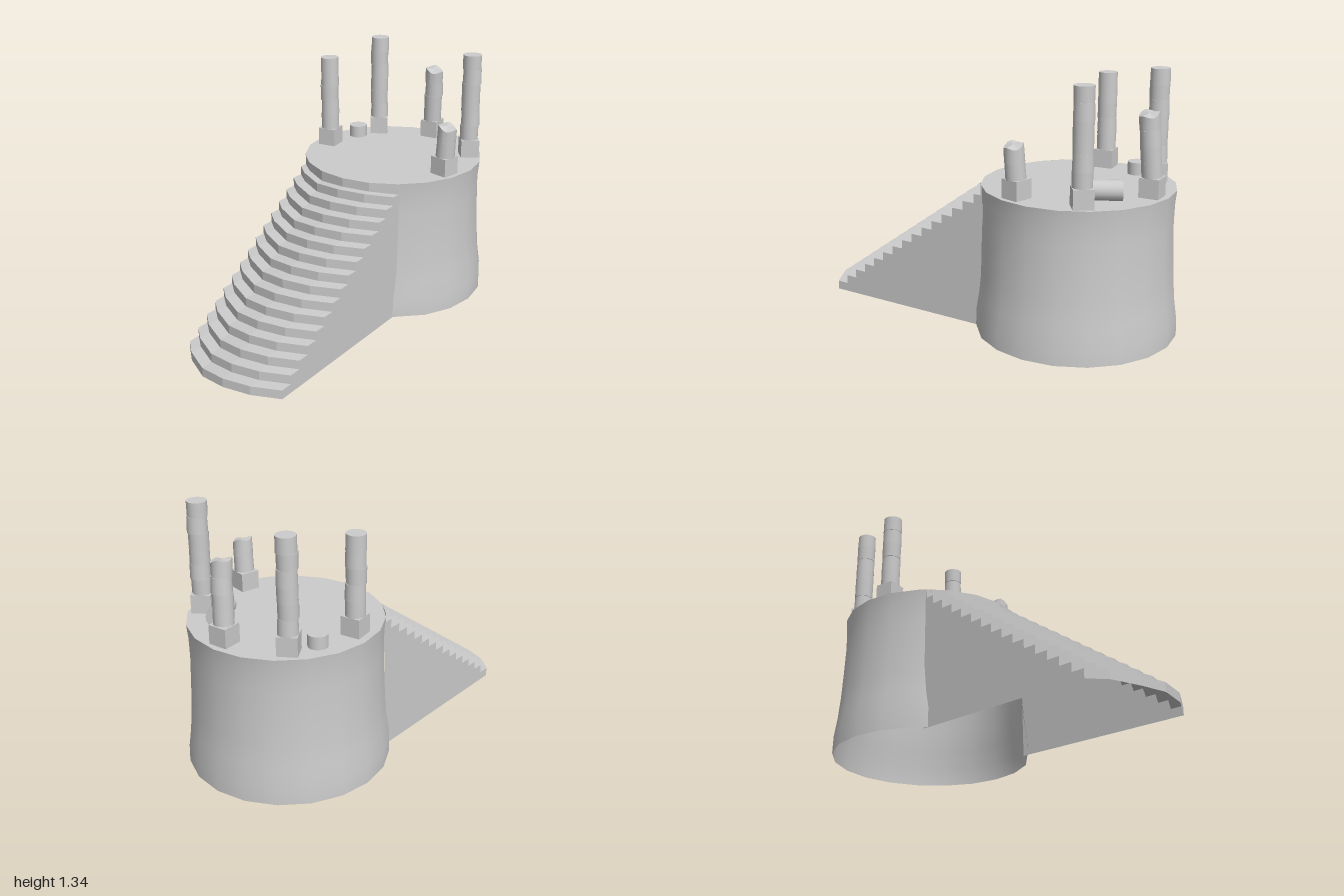
import * as THREE from 'three';

const solid = new THREE.MeshStandardMaterial({ color: 0xcccccc });
const shell = new THREE.MeshStandardMaterial({ color: 0xcccccc, side: THREE.DoubleSide });
const rad = THREE.MathUtils.degToRad;

const TOP = 0.77, FLOOR = 0.01, CZ = -0.48, R = 0.49;
const STEPS = 15, RISE = 0.0475, RUN = 0.0675;

function add(parent, name, geometry, material = solid) {
  const mesh = new THREE.Mesh(geometry, material);
  mesh.name = name;
  parent.add(mesh);
  return mesh;
}

// Surface through rows of points: columns run left to right, rows run upward
function grid(rows) {
  const n = rows[0].length, index = [];
  for (let i = 0; i < rows.length - 1; i++) {
    for (let j = 0; j < n - 1; j++) {
      const a = i * n + j, b = a + 1, c = a + n, d = c + 1;
      index.push(a, b, d, a, d, c);
    }
  }
  const g = new THREE.BufferGeometry();
  g.setAttribute('position', new THREE.Float32BufferAttribute(rows.flat(2), 3));
  g.setIndex(index);
  g.computeVertexNormals();
  return g;
}

// Round platform, hollow and open below, with a gap where the stairs enter
function buildPlatform(root) {
  const angles = [33];
  for (let a = 54; a <= 306; a += 18) angles.push(a);
  angles.push(314);
  const profile = [[0.518, FLOOR], [0.516, 0.1], [0.502, 0.2], [0.492, 0.32],
    [0.486, 0.45], [0.481, 0.6], [0.483, 0.7], [R, TOP]];
  const rows = profile.map(([r, y]) => angles.map(a =>
    [r * Math.sin(rad(a)), y, CZ + r * Math.cos(rad(a))]));
  add(root, 'platformWall', grid(rows), shell);

  const disc = new THREE.CircleGeometry(R, 20, Math.PI / 2).rotateX(-Math.PI / 2);
  add(root, 'platformFloor', disc.translate(0, TOP, CZ), shell);
}

// Bowed, slightly worn stairs with side walls
function buildStairs(root) {
  const columns = [[-49, 0], [-36, 0.001], [-18, -0.008], [0, 0], [18, -0.001], [36, -0.01]]
    .map(([a, sag]) => ({ x: R * Math.sin(rad(a)), bow: R - R * Math.cos(rad(a)), sag }));

  const profile = []; // [z, y] from the ground up
  for (let k = 0; k < STEPS; k++) {
    const z = 1 - k * RUN;
    profile.push([z, FLOOR + k * RISE], [z, FLOOR + (k + 1) * RISE]);
  }
  profile.push([CZ + R, FLOOR + STEPS * RISE], [CZ + R, TOP + 0.01]);
  profile[profile.length - 1][1] = TOP;

  const last = profile.length - 1;
  const rows = profile.map(([z, y], i) => columns.map(c =>
    [c.x, i === last ? y : y + c.sag, z - c.bow]));
  const steps = grid(rows).toNonIndexed();
  steps.computeVertexNormals();
  add(root, 'steps', steps, shell);

  for (const [name, c] of [['rightStairWall', columns[0]], ['leftStairWall', columns[5]]]) {
    const pts = profile.map(([z, y], i) =>
      new THREE.Vector2(z - c.bow, i === last ? y : y + c.sag));
    pts.push(new THREE.Vector2(CZ + R - c.bow - 0.01, TOP - 0.005));
    pts.push(new THREE.Vector2(CZ + R - c.bow + 0.005, FLOOR));
    const g = new THREE.ShapeGeometry(new THREE.Shape(pts)).rotateY(-Math.PI / 2);
    add(root, name, g.translate(c.x, 0, 0), shell);
  }
}

// Stone drum standing on its own base; a broken one gets a jagged sloping top
function drum(rBottom, rTop, height, broken) {
  const g = new THREE.CylinderGeometry(rTop, rBottom, height, 18, 1).translate(0, height / 2, 0);
  if (broken) {
    const p = g.attributes.position;
    for (let i = 0; i < p.count; i++) {
      if (p.getY(i) < height / 2) continue;
      const a = Math.atan2(p.getZ(i), p.getX(i));
      p.setY(i, p.getY(i) - p.getX(i) * 0.18 + 0.007 * Math.sin(3 * a + 1));
    }
    g.computeVertexNormals();
  }
  return g;
}

// Column of stacked drums on a square base
function buildColumn(root, { x, z, top, turn, lean = [0, 0], broken = false }, id) {
  const column = new THREE.Group();
  column.name = 'column' + (id + 1);
  column.position.set(x, TOP, z);
  root.add(column);

  const baseH = 0.097;
  const base = add(column, 'columnBase', new THREE.BoxGeometry(0.1, baseH, 0.1));
  base.position.y = baseH / 2;
  base.rotation.y = rad(turn);

  const total = top - TOP - baseH;
  const count = Math.round(total / 0.077);
  const h = total / count;
  for (let i = 0; i < count; i++) {
    const wob = Math.sin(i * 2.3 + id * 1.7), t = (i + 0.5) / count;
    const isTop = i === count - 1;
    const g = drum(0.05 + 0.001 * wob, 0.0495 - 0.001 * wob, h + (isTop ? 0 : 0.002), broken && isTop);
    const m = add(column, 'drum', g);
    m.position.set(lean[0] * t + 0.0015 * wob, baseH + i * h, lean[1] * t - 0.0015 * wob);
    m.rotation.set(lean[1] / total, 0, -lean[0] / total);
  }
}

export function createModel() {
  const root = new THREE.Group();
  root.name = 'ruinedShrine';
  buildPlatform(root);
  buildStairs(root);

  const columns = [
    { x: -0.392, z: -0.425, top: 1.275, turn: 8, lean: [-0.003, 0.002] },
    { x: -0.285, z: -0.77, top: 1.34, turn: 32 },
    { x: 0.011, z: -0.887, top: 1.172, turn: 5, lean: [0.016, 0.018], broken: true },
    { x: 0.358, z: -0.70, top: 1.34, turn: 38 },
    { x: 0.395, z: -0.365, top: 1.03, turn: -12, lean: [0.012, 0.006], broken: true },
  ];
  columns.forEach((c, i) => buildColumn(root, c, i));

  // Loose pieces on the floor
  add(root, 'looseDrum', drum(0.05, 0.05, 0.065)).position.set(-0.342, TOP, -0.635);
  const fallen = add(root, 'fallenDrum',
    new THREE.CylinderGeometry(0.05, 0.05, 0.18, 18, 2).rotateX(Math.PI / 2));
  fallen.position.set(0.197, TOP + 0.05, -0.727);
  fallen.rotation.y = rad(29);
  return root;
}
